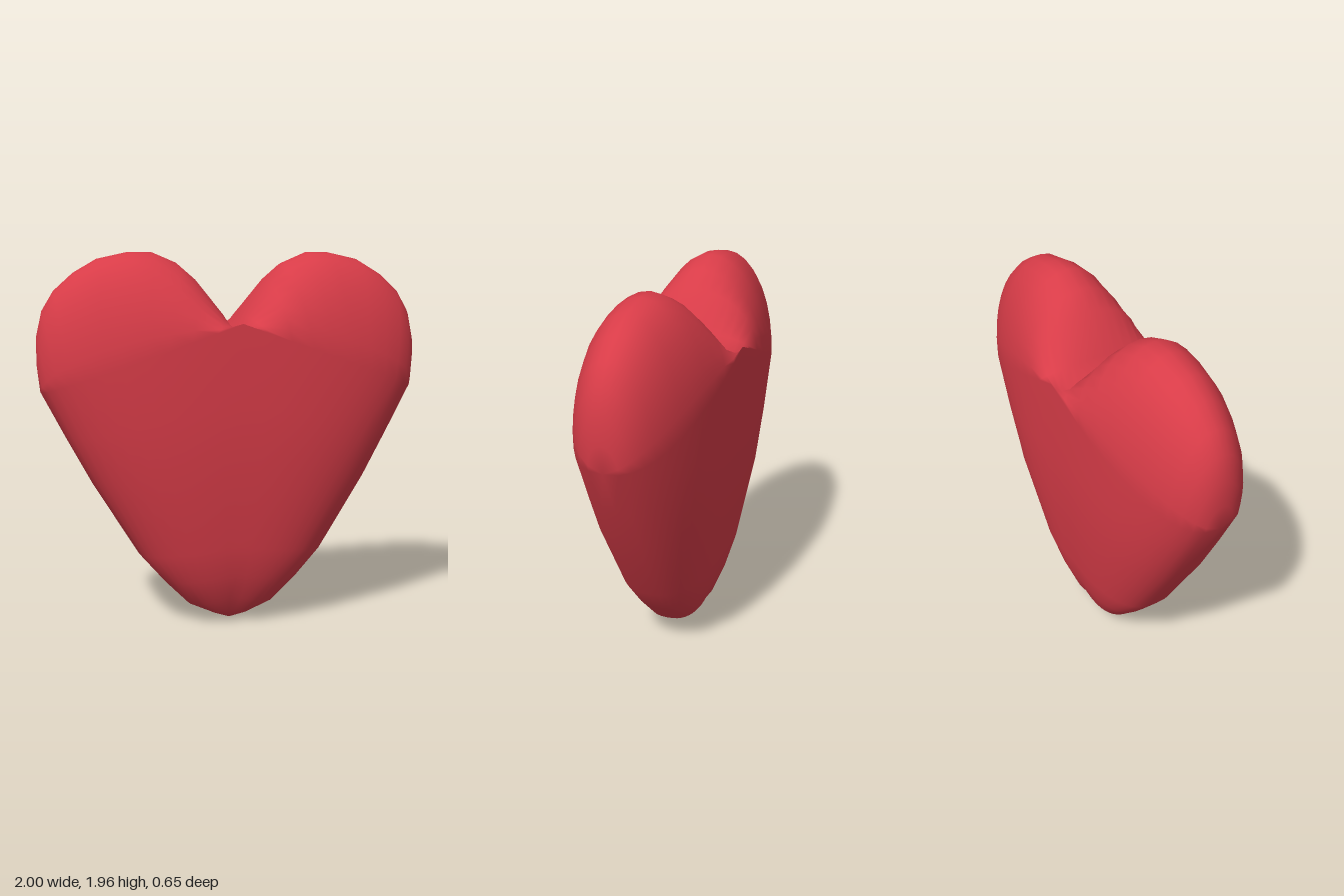
import * as THREE from 'three';
import { mergeVertices } from 'three/addons/utils/BufferGeometryUtils.js';

const STEPS = 12; // divisions per quarter turn

// Rounded-oblong ring: q in quarter-steps, half width X, half depth Z,
// height falling from yMid (front and back) to ySide (left and right)
function ringPoint(q, X, Z, ySide, yMid) {
  const a = (q / STEPS) * Math.PI / 2;
  const c = Math.cos(a), s = Math.sin(a), k = Math.abs(c);
  const z = Math.abs(s) < 1e-6 ? 0 : Math.sign(s) * Math.pow(1 - Math.pow(k, 2.6), 1 / 2.6);
  return new THREE.Vector3(X * c, yMid + (ySide - yMid) * k, Z * z);
}

// Adds the triangles between successive rows of points
function addRows(out, rows) {
  for (let r = 0; r + 1 < rows.length; r++) {
    for (let j = 0; j + 1 < rows[r].length; j++) {
      const a = rows[r][j], b = rows[r + 1][j], c = rows[r][j + 1], d = rows[r + 1][j + 1];
      for (const p of [a, b, c, c, b, d]) out.push(p.x, p.y, p.z);
    }
  }
}

export function createModel() {
  const group = new THREE.Group();
  group.name = 'heart';
  const red = new THREE.MeshStandardMaterial({ color: 0xd83c48 });
  red.name = 'red';
  const out = [];

  // Tapering lower body, from the tip up to the crease
  const rings = [
    [0, 0, 0, 0], [0.1, 0.08, 0.04, 0.04], [0.23, 0.15, 0.1, 0.15],
    [0.36, 0.2, 0.23, 0.28], [0.49, 0.24, 0.38, 0.44], [0.73, 0.3, 0.77, 0.88],
    [0.86, 0.315, 1.01, 1.2], [0.985, 0.325, 1.25, 1.6],
  ];
  addRows(out, rings.map((ring) =>
    Array.from({ length: STEPS * 4 + 1 }, (_, q) => ringPoint(q, ...ring))));

  // Two lobes: half-ellipse arches from the front crease over the ridge to the back
  const ridge = [
    [0, 1.5], [0.05, 1.64], [0.19, 1.82], [0.28, 1.9], [0.41, 1.955], [0.53, 1.955],
    [0.69, 1.92], [0.81, 1.85], [0.91, 1.76], [0.97, 1.66], [1, 1.53], [1, 1.39], [0.985, 1.25],
  ];
  const crease = rings[rings.length - 1];
  for (const side of [1, -1]) {
    addRows(out, ridge.map(([x, y], i) => {
      const foot = ringPoint(STEPS - i, ...crease);
      return Array.from({ length: 17 }, (_, j) => {
        const a = (j / 16) * Math.PI, s = Math.sin(a);
        return new THREE.Vector3(
          side * (foot.x + (x - foot.x) * s),
          foot.y + (y - foot.y) * s,
          side * foot.z * Math.cos(a));
      });
    }));
  }

  // Weld everything into one smooth skin
  let geometry = new THREE.BufferGeometry();
  geometry.setAttribute('position', new THREE.Float32BufferAttribute(out, 3));
  geometry = mergeVertices(geometry, 1e-4);
  geometry.computeVertexNormals();
  const mesh = new THREE.Mesh(geometry, red);
  mesh.name = 'heartBody';
  group.add(mesh);
  return group;
}
